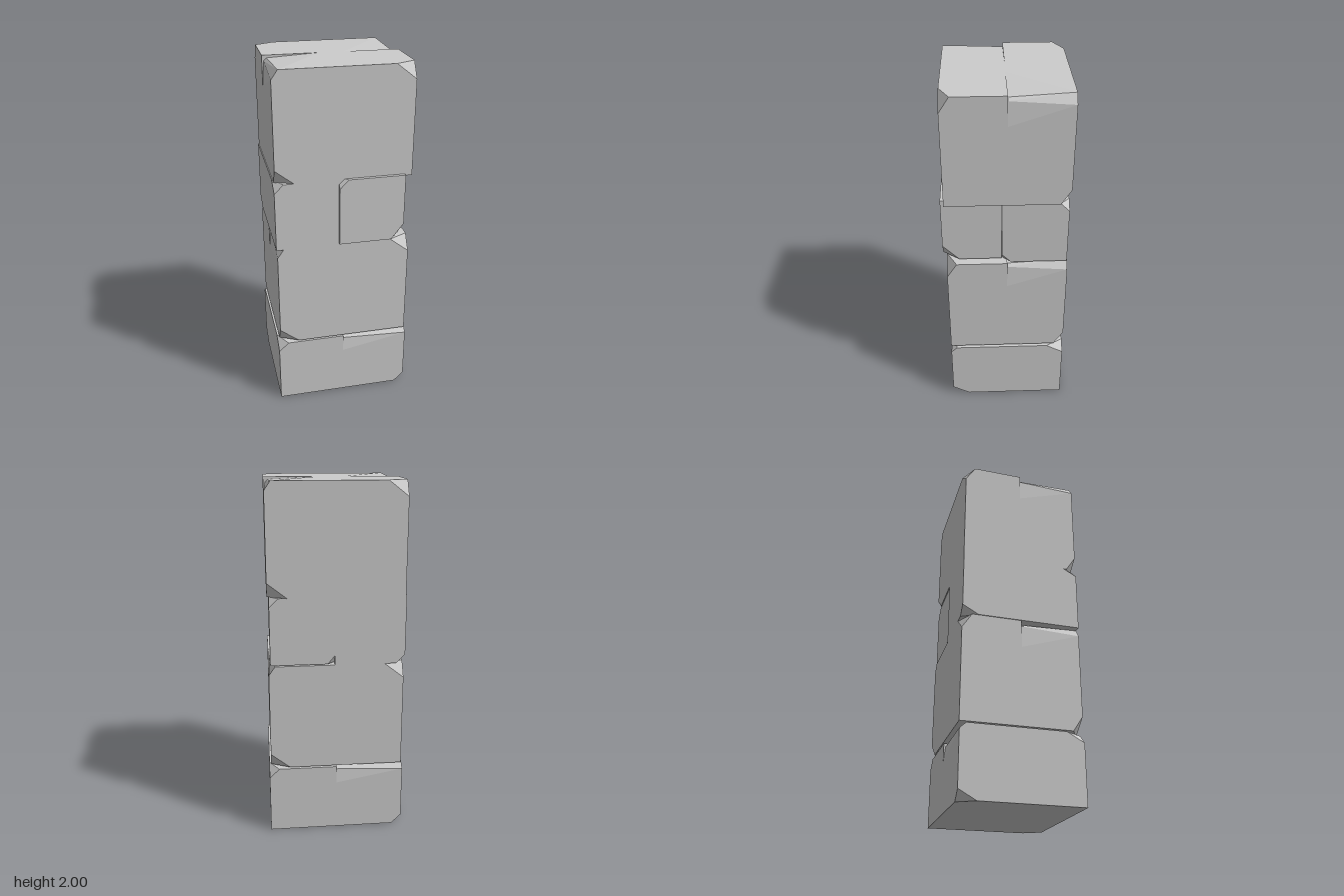
import * as THREE from 'three';
import { ConvexGeometry } from 'three/addons/geometries/ConvexGeometry.js';

const stone = new THREE.MeshStandardMaterial({ color: 0xcccccc, flatShading: true });
const V = (x, y, z) => new THREE.Vector3(x, y, z);
const MID_Z = -0.01;

function hull(name, points) {
  const mesh = new THREE.Mesh(new ConvexGeometry(points), stone);
  mesh.name = name;
  return mesh;
}

// Large block: two equal halves, each with a sunken top edge along the crack
// and two broken corners; the second half is the first turned by 180 degrees.
function crackedBlock(name, hx, hz, y0, y1, turn = 0) {
  const s = (y1 - y0) / 0.61; // heights of chips scale with the block
  const cx = 0.29 * hx, cy = 0.085 * s, cz = 0.055;
  const points = [
    // bottom
    V(-hx, y0, 0), V(hx, y0, 0), V(hx, y0, hz),
    V(-hx + cx, y0, hz), V(-hx, y0 + cy, hz), V(-hx, y0, hz - cz),
    // chipped top corner
    V(hx, y1, 0), V(hx - cx, y1, hz), V(hx, y1 - cy, hz), V(hx, y1, hz - cz),
    // bevel at the outer end
    V(-hx + 0.035, y1, hz), V(-hx, y1 - 0.05 * s, hz),
    // dip beside the crack
    V(-0.07, y1, 0), V(-hx + 0.025, y1 - 0.015 * s, 0),
    V(-hx + 0.01, y1 - 0.03 * s, 0), V(-hx, y1 - 0.16 * s, 0),
  ];
  const block = new THREE.Group();
  block.name = name;
  for (let i = 0; i < 2; i++) {
    const half = hull(name + 'Half', points);
    half.rotation.y = i * Math.PI;
    block.add(half);
  }
  block.rotation.y = turn;
  block.position.z = MID_Z;
  return block;
}

// Small block: a box with chosen corners cut off.
// chips: keys give the corner as signs of x, y, z; values are the cut lengths.
function chippedBlock(name, min, max, chips) {
  const points = [];
  for (const sx of [-1, 1]) for (const sy of [-1, 1]) for (const sz of [-1, 1]) {
    const signs = [sx, sy, sz];
    const corner = signs.map((s, i) => (s > 0 ? max[i] : min[i]));
    const cut = chips[signs.map((s) => (s > 0 ? '+' : '-')).join('')];
    if (!cut) {
      points.push(V(...corner));
      continue;
    }
    for (let i = 0; i < 3; i++) {
      const p = [...corner];
      p[i] -= signs[i] * cut[i];
      points.push(V(...p));
    }
  }
  return hull(name, points);
}

export function createModel() {
  const pillar = new THREE.Group();
  pillar.name = 'stonePillar';

  // Large courses; the base is turned a quarter so its crack runs front to back
  pillar.add(
    crackedBlock('baseBlock', 0.335, 0.385, 0, 0.39, Math.PI / 2),
    crackedBlock('lowerBlock', 0.375, 0.335, 0.4, 1.01),
    crackedBlock('topBlock', 0.375, 0.335, 1.39, 2),
  );

  // Middle course of three smaller stones
  pillar.add(
    chippedBlock('middleLongStone', [-0.38, 1.01, -0.345], [0.01, 1.395, 0.325], {
      '-++': [0.05, 0.05, 0.09],
      '---': [0.05, 0.05, 0.09],
    }),
    chippedBlock('middleFrontStone', [-0.03, 1.02, 0.02], [0.335, 1.4, 0.345], {
      '-++': [0.05, 0.05, 0.05],
      '+-+': [0.07, 0.09, 0.09],
    }),
    chippedBlock('middleBackStone', [0, 1.015, -0.34], [0.365, 1.39, 0.02], {
      '+-+': [0.05, 0.05, 0.05],
      '---': [0.05, 0.06, 0.05],
      '++-': [0.05, 0.05, 0.05],
    }),
  );
  return pillar;
}
